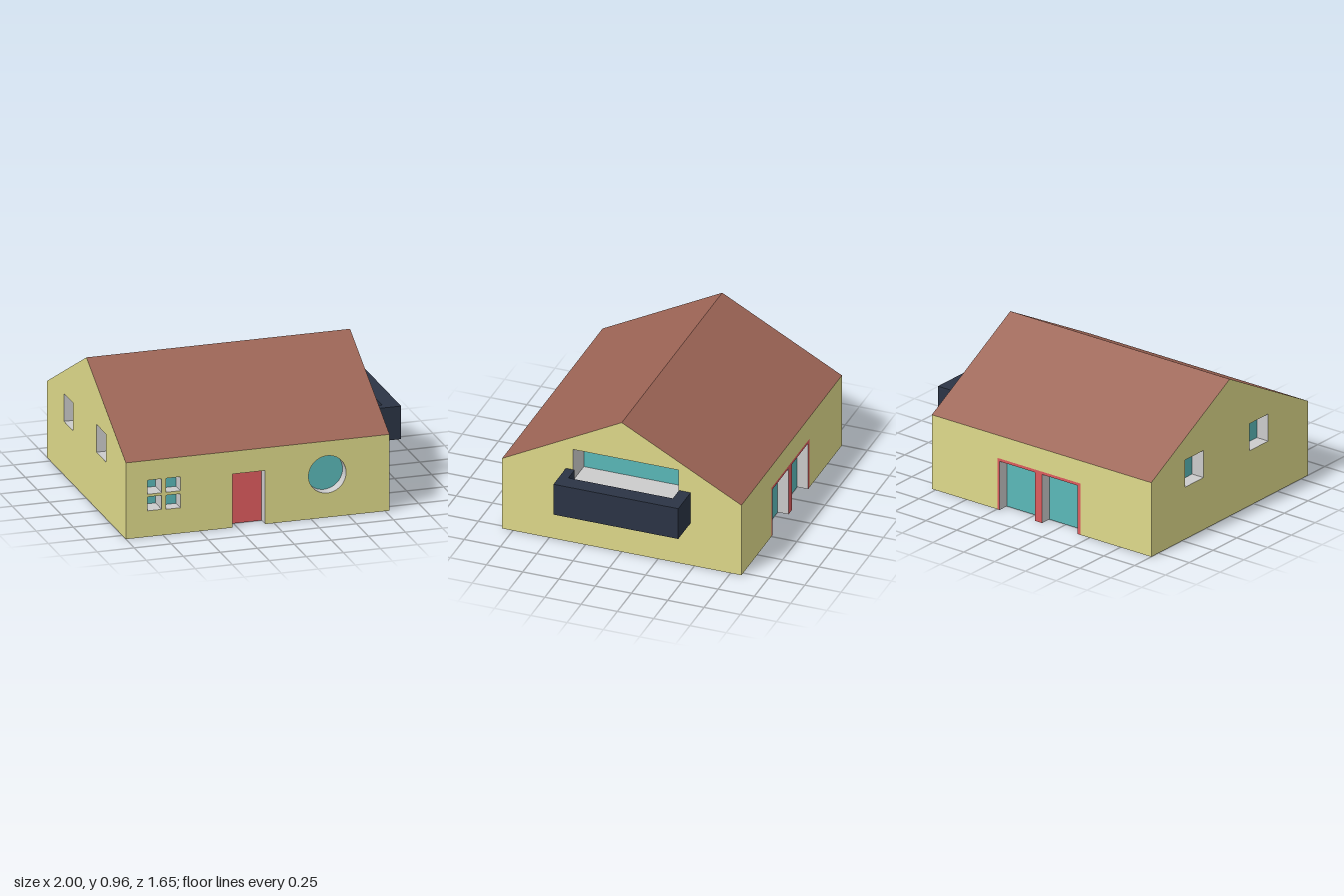
import * as THREE from 'three';
import { toCreasedNormals } from 'three/addons/utils/BufferGeometryUtils.js';

const material = (color) => new THREE.MeshStandardMaterial({ color });
const WALL = material(0xded98a), ROOF = material(0x9c6455), GLASS = material(0x5ab8b8);
const RED = material(0xdd5c5e), DARK = material(0x2b3445), REVEAL = material(0xcccccc);
for (const m of [WALL, ROOF, GLASS, RED, REVEAL]) m.side = THREE.DoubleSide;

// House extents
const X0 = -1, X1 = 0.78, Z = 0.825, EAVE = 0.52, RIDGE = 0.96, DOOR_DEPTH = 0.075;

function mesh(name, geometry, mat, parent) {
  const m = new THREE.Mesh(geometry, mat);
  m.name = name;
  parent.add(m);
  return m;
}

const polygon = (pts) => new THREE.Shape(pts.map(([x, y]) => new THREE.Vector2(x, y)));
const rect = (x0, y0, x1, y1) => polygon([[x0, y0], [x1, y0], [x1, y1], [x0, y1]]);

// Outline whose lower edge has rectangular notches [from, to, height]
function notched(x0, x1, y0, notches, rest) {
  const pts = [[x0, y0]];
  for (const [a, b, h] of notches) pts.push([a, y0], [a, y0 + h], [b, y0 + h], [b, y0]);
  return polygon([...pts, [x1, y0], ...rest]);
}

// Recessed opening: grey reveal strip around the outline and a pane at the back.
// openBottom leaves out the first edge (the sill) of a rectangle.
function recess(name, shape, depth, paneMaterial, parent, openBottom = false) {
  const group = new THREE.Group();
  group.name = name;
  parent.add(group);
  const pts = shape.getPoints(24);
  if (pts[0].distanceTo(pts[pts.length - 1]) < 1e-6) pts.pop();
  const pos = [];
  for (let i = openBottom ? 1 : 0; i < pts.length; i++) {
    const a = pts[i], b = pts[(i + 1) % pts.length];
    pos.push(a.x, a.y, 0, b.x, b.y, -depth, b.x, b.y, 0);
    pos.push(a.x, a.y, 0, a.x, a.y, -depth, b.x, b.y, -depth);
  }
  const strip = new THREE.BufferGeometry();
  strip.setAttribute('position', new THREE.Float32BufferAttribute(pos, 3));
  mesh('reveal', toCreasedNormals(strip, 0.6), REVEAL, group);
  mesh('pane', new THREE.ShapeGeometry(shape, 24), paneMaterial, group).position.z = -depth;
}

// Wall group: drawn in its own x-y plane, facing local +z
function wall(name, shape, angle, x, z, parent) {
  const group = new THREE.Group();
  group.name = name;
  group.rotation.y = angle;
  group.position.set(x, 0, z);
  parent.add(group);
  mesh('wallSurface', new THREE.ShapeGeometry(shape, 24), WALL, group);
  return group;
}

export function createModel() {
  const house = new THREE.Group();
  house.name = 'house';

  // Front wall with four small panes, a door and a round window
  const panes = [
    [-0.855, 0.29, 0.13], [-0.73, 0.29, 0.09], [-0.855, 0.177, 0.13], [-0.73, 0.174, 0.09],
  ].map(([x, y, depth]) => ({ shape: rect(x, y, x + 0.097, y + 0.095), depth }));
  const round = new THREE.Shape().absarc(0.36, 0.293, 0.127, 0, Math.PI * 2);
  const frontShape = notched(X0, X1, 0, [[-0.28, -0.06, 0.365]], [[X1, EAVE], [X0, EAVE]]);
  frontShape.holes.push(...panes.map((p) => p.shape), round);
  const front = wall('frontWall', frontShape, 0, 0, Z, house);
  for (const p of panes) recess('frontWindowPane', p.shape, p.depth, GLASS, front);
  recess('roundWindow', round, 0.075, GLASS, front);
  recess('frontDoor', rect(-0.28, 0, -0.06, 0.365), DOOR_DEPTH, RED, front, true);

  // Back wall with a framed pair of glass doors (local x is mirrored)
  const glassDoors = [[-0.23, 0.055, 0.34], [0.115, 0.4, 0.34]];
  const backShape = notched(-X1, -X0, 0, [[-0.248, 0.427, 0.36]], [[-X0, EAVE], [-X1, EAVE]]);
  const back = wall('backWall', backShape, Math.PI, 0, -Z, house);
  const frame = notched(-0.248, 0.427, 0, glassDoors, [[0.427, 0.36], [-0.248, 0.36]]);
  mesh('glassDoorFrame', new THREE.ShapeGeometry(frame), RED, back);
  for (const [a, b, h] of glassDoors) recess('glassDoor', rect(a, 0, b, h), DOOR_DEPTH, GLASS, back, true);

  // Gable walls: balcony opening on one, two windows on the other
  const gable = (holes) => {
    const s = polygon([[-Z, 0], [Z, 0], [Z, EAVE], [0, RIDGE], [-Z, EAVE]]);
    s.holes.push(...holes);
    return s;
  };
  const balconyOpening = rect(-0.335, 0.46, 0.39, 0.69);
  const leftGable = wall('leftGable', gable([balconyOpening]), Math.PI / 2, X1, 0, house);
  recess('balconyWindow', balconyOpening, 0.19, GLASS, leftGable);

  const sideWindows = [rect(-0.47, 0.365, -0.275, 0.555), rect(0.21, 0.385, 0.405, 0.575)];
  const rightGable = wall('rightGable', gable(sideWindows), -Math.PI / 2, X0, 0, house);
  for (const s of sideWindows) recess('sideWindow', s, 0.093, GLASS, rightGable);

  // Roof slopes, flush with the walls
  const slope = Math.hypot(Z, RIDGE - EAVE);
  for (const side of [1, -1]) {
    const r = mesh(side > 0 ? 'frontRoof' : 'backRoof', new THREE.PlaneGeometry(X1 - X0, slope), ROOF, house);
    r.position.set((X0 + X1) / 2, (EAVE + RIDGE) / 2, side * Z / 2);
    r.rotation.order = 'YXZ';
    r.rotation.set(-Math.atan2(Z, RIDGE - EAVE), side > 0 ? 0 : Math.PI, 0);
  }

  // Floor, cut away below the recessed doors
  const floorShape = notched(X0, X1, -Z, [[-0.4, -0.115, DOOR_DEPTH], [-0.055, 0.23, DOOR_DEPTH]], [
    [X1, Z], [-0.06, Z], [-0.06, Z - DOOR_DEPTH], [-0.28, Z - DOOR_DEPTH], [-0.28, Z], [X0, Z],
  ]);
  mesh('floor', new THREE.ShapeGeometry(floorShape), WALL, house).rotation.x = Math.PI / 2;

  // Balcony: solid base with a three-sided parapet
  const balcony = new THREE.Group();
  balcony.name = 'balcony';
  house.add(balcony);
  const base = mesh('balconyBase', new THREE.BoxGeometry(1 - X1, 0.145, 0.86), DARK, balcony);
  base.position.set((1 + X1) / 2, 0.3875, -0.045);
  const rim = polygon([
    [X1, -0.475], [1, -0.475], [1, 0.385], [X1, 0.385],
    [X1, 0.325], [0.89, 0.325], [0.89, -0.395], [X1, -0.395],
  ]);
  const parapet = mesh('balconyParapet', new THREE.ExtrudeGeometry(rim, { depth: 0.08, bevelEnabled: false }), DARK, balcony);
  parapet.rotation.x = Math.PI / 2;
  parapet.position.y = 0.54;

  return house;
}
